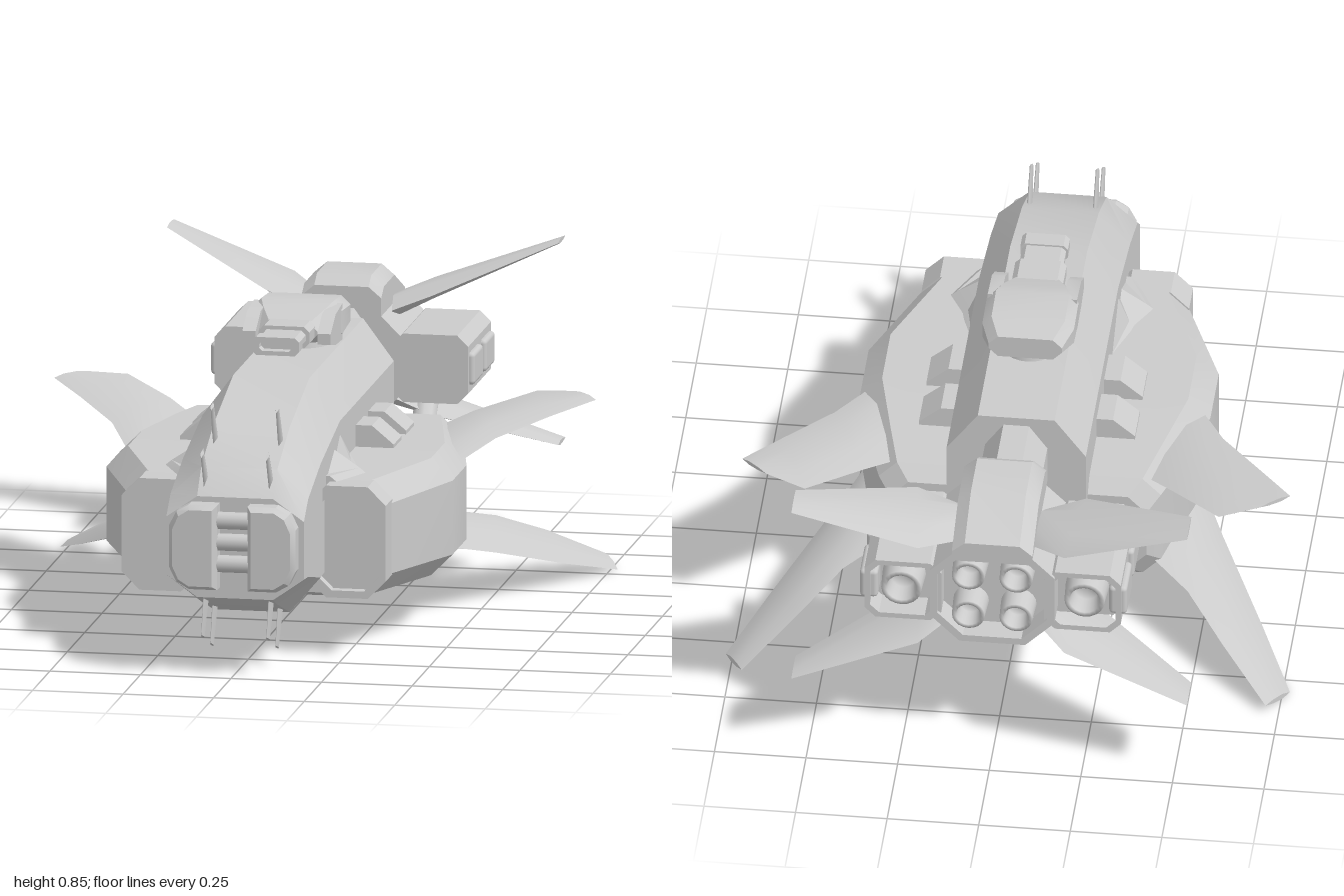
import * as THREE from 'three';
import { toCreasedNormals } from 'three/addons/utils/BufferGeometryUtils.js';
import { RoundedBoxGeometry } from 'three/addons/geometries/RoundedBoxGeometry.js';

const mat = new THREE.MeshStandardMaterial({ color: 0xcccccc });
const open = new THREE.MeshStandardMaterial({ color: 0xcccccc, side: THREE.DoubleSide });

// Capped skin over rings of [x, y, z] points; turned outward by its signed volume
function loft(rings, crease = 0.45) {
  const v = (p) => new THREE.Vector3(...p);
  const R = rings.map((r) => r.map(v));
  const tris = [];
  const n = R[0].length;
  for (let i = 0; i < R.length - 1; i++) {
    for (let j = 0; j < n; j++) {
      const k = (j + 1) % n;
      tris.push([R[i][j], R[i][k], R[i + 1][k]], [R[i][j], R[i + 1][k], R[i + 1][j]]);
    }
  }
  const cap = (r, flip) => {
    const c = r.reduce((s, p) => s.add(p), new THREE.Vector3()).divideScalar(n);
    r.forEach((p, j) => {
      const q = r[(j + 1) % n];
      tris.push(flip ? [c, q, p] : [c, p, q]);
    });
  };
  cap(R[0], true);
  cap(R[R.length - 1], false);
  const vol = tris.reduce((s, [a, b, c]) => s + a.dot(b.clone().cross(c)), 0);
  const pts = tris.flatMap((t) => (vol < 0 ? [t[0], t[2], t[1]] : t));
  return toCreasedNormals(new THREE.BufferGeometry().setFromPoints(pts), crease);
}

// Octagon with corners cut by cx and cy
const oct = (x0, x1, y0, y1, cx, cy = cx) => [
  [x0 + cx, y0], [x1 - cx, y0], [x1, y0 + cy], [x1, y1 - cy],
  [x1 - cx, y1], [x0 + cx, y1], [x0, y1 - cy], [x0, y0 + cy]];
const at = (pts, z) => pts.map(([x, y]) => [x, y, z]);
const prism = (pts, z0, z1) => loft([at(pts, z0), at(pts, z1)]);
const flip = (pts, s) => pts.map(([x, ...r]) => [x * s, ...r]);

// Hollow rim between two outlines
function rim(outer, inner, z0, z1) {
  const shape = new THREE.Shape(outer.map((p) => new THREE.Vector2(...p)));
  shape.holes.push(new THREE.Path(inner.map((p) => new THREE.Vector2(...p))));
  return new THREE.ExtrudeGeometry(shape, { depth: z1 - z0, bevelEnabled: false }).translate(0, 0, z0);
}

// Blade from stations: [leading point, trailing point, half thickness]
const blade = (stations, s) => loft(stations.map(([a, b, t]) => {
  const mix = (k, dy) => [0, 1, 2].map((i) => a[i] + (b[i] - a[i]) * k + (i === 1 ? dy : 0));
  return flip([a, mix(0.3, t), mix(0.7, t * 0.8), b, mix(0.7, -t * 0.8), mix(0.3, -t)], s);
}), 0.7);

export function createModel() {
  const model = new THREE.Group();
  const add = (name, geo, parent = model, m = mat) => {
    const mesh = new THREE.Mesh(geo, m);
    mesh.name = name;
    parent.add(mesh);
    return mesh;
  };
  const group = (name) => {
    const g = new THREE.Group();
    g.name = name;
    model.add(g);
    return g;
  };

  // Central hull: z, bottom, top, corner height
  add('hull', loft([
    [0.94, 0.22, 0.5, 0.06], [0.88, 0.195, 0.57, 0.08], [0.7, 0.135, 0.65, 0.1],
    [0.42, 0.135, 0.725, 0.115], [-0.27, 0.13, 0.725, 0.115], [-0.355, 0.31, 0.725, 0.115],
  ].map(([z, b, t, c]) => at(oct(-0.19, 0.19, b, t, 0.085, c), z))));

  // Belly bay, open at the rear
  const bay = group('bellyBay');
  add('bayBody', loft([[0.37, 0.12], [0.2, 0.075], [-0.24, 0.072]]
    .map(([z, b]) => at([[-0.21, b], [0.21, b], [0.21, 0.22], [-0.21, 0.22]], z))), bay);
  add('bayRim', rim([[-0.21, 0.072], [0.21, 0.072], [0.21, 0.25], [-0.21, 0.25]],
    [[-0.17, 0.1], [0.17, 0.1], [0.17, 0.22], [-0.17, 0.22]], -0.31, -0.24), bay);

  // Nose gun housings, rungs and sensor spikes
  const nose = group('nose');
  for (const y of [0.32, 0.38, 0.44]) {
    add('noseRung', new THREE.CylinderGeometry(0.024, 0.024, 0.12, 12).rotateZ(Math.PI / 2).translate(0, y, 0.96), nose);
  }
  for (const s of [-1, 1]) {
    const outline = [[0.042, 0.25], [0.12, 0.25], [0.155, 0.27], [0.175, 0.31],
      [0.175, 0.425], [0.155, 0.465], [0.12, 0.485], [0.042, 0.485]];
    const inset = outline.map(([x, y]) => [0.105 + (x - 0.105) * 0.82, 0.3675 + (y - 0.3675) * 0.9]);
    add('noseHousing', loft([at(flip(outline, s), 0.9), at(flip(outline, s), 0.98), at(flip(inset, s), 1)]), nose);
    for (const [z, y, z1, y1] of [[0.885, 0.52, 0.945, 0.62], [0.75, 0.61, 0.8, 0.72],
      [0.89, 0.21, 0.935, 0.11], [0.76, 0.16, 0.805, 0.06]]) {
      const a = new THREE.Vector3(s * 0.09, y, z);
      const b = new THREE.Vector3(s * 0.09, y1, z1);
      const spike = add('spike', new THREE.CylinderGeometry(0.02, 0.032, a.distanceTo(b), 4).scale(0.25, 1, 1), nose);
      spike.position.copy(a).lerp(b, 0.5);
      spike.quaternion.setFromUnitVectors(new THREE.Vector3(0, 1, 0), b.sub(a).normalize());
    }
  }

  for (const s of [-1, 1]) {
    const side = s > 0 ? 'left' : 'right';
    const flank = group(side + 'Flank');

    // Side pod: z, outer x, bottom, top, corner cuts
    add('sidePod', loft([
      [0.59, 0.365, 0.17, 0.485, 0.06], [0.3, 0.478, 0.165, 0.49, 0.06], [0.1, 0.478, 0.165, 0.49, 0.06],
      [-0.12, 0.43, 0.165, 0.49, 0.06], [-0.27, 0.385, 0.17, 0.485, 0.05], [-0.31, 0.35, 0.21, 0.45, 0.05],
    ].map(([z, x, b, t, c]) => at(flip(oct(0.05, x, b, t, c), s), z))), flank);

    // Shoulder fairing between hull and pod
    add('shoulder', loft([[0.62, 0.2, 0.5], [0.5, 0.26, 0.56], [0.42, 0.22, 0.62], [0.28, 0.19, 0.49]]
      .map(([z, x, y]) => at(flip([[0.1, 0.45], [0.1, y], [0.17, y], [x, Math.min(y, 0.5)], [x + 0.06, 0.45]], s), z))), flank);

    // Air intake
    add('intakeRim', rim(flip(oct(0.15, 0.365, 0.175, 0.485, 0.05), s),
      flip(oct(0.17, 0.35, 0.195, 0.465, 0.045), s), 0.58, 0.675), flank);
    add('intakePanel', prism(flip(oct(0.16, 0.355, 0.185, 0.475, 0.045), s), 0.57, 0.645), flank);

    // Vents above and below the pod
    for (const z of [-0.1, 0.08]) {
      const top = [[0.15, 0.44], [0.15, 0.55], [0.235, 0.55], [0.295, 0.5], [0.295, 0.44]];
      const low = [[0.15, 0.22], [0.15, 0.11], [0.25, 0.11], [0.31, 0.16], [0.31, 0.22]];
      add('upperVent', prism(flip(top, s), z, z + 0.115), flank);
      add('lowerVent', prism(flip(low, s), z, z + 0.115), flank);
    }

    // Side fins
    add('upperSideFin', blade([
      [[0.44, 0.43, 0.15], [0.33, 0.46, -0.22], 0.022],
      [[0.53, 0.475, -0.05], [0.42, 0.49, -0.32], 0.018],
      [[0.65, 0.505, -0.22], [0.565, 0.52, -0.465], 0.012],
      [[0.748, 0.525, -0.355], [0.675, 0.532, -0.425], 0.006]], s), flank);
    add('lowerSideFin', blade([
      [[0.43, 0.215, 0.16], [0.35, 0.225, -0.26], 0.03],
      [[0.53, 0.155, -0.06], [0.47, 0.19, -0.37], 0.024],
      [[0.67, 0.07, -0.34], [0.58, 0.125, -0.51], 0.016],
      [[0.77, 0.012, -0.555], [0.715, 0.035, -0.655], 0.008]], s), flank);

    // Pipe from hull to tail
    const path = new THREE.CatmullRomCurve3([[0.12, 0.36, -0.3], [0.12, 0.36, -0.42], [0.21, 0.35, -0.53],
      [0.215, 0.345, -0.64], [0.2, 0.42, -0.78]].map(([x, y, z]) => new THREE.Vector3(x * s, y, z)), false, 'catmullrom', 0.2);
    add('tailPipe', new THREE.TubeGeometry(path, 24, 0.034, 10), flank, open);
  }

  // Tail boom and engine block
  const tail = group('tail');
  add('tailBoom', prism(oct(-0.085, 0.085, 0.45, 0.7, 0.05, 0.07), -0.62, -0.3), tail);
  const core = oct(-0.17, 0.17, 0.39, 0.7, 0.08);
  add('engineCore', prism(core, -0.86, -0.59), tail);
  add('engineRim', rim(core, oct(-0.15, 0.15, 0.41, 0.68, 0.07), -0.93, -0.86), tail);
  add('tailRidge', loft([[-0.59, 0.76], [-0.63, 0.785], [-0.78, 0.785], [-0.93, 0.72]]
    .map(([z, y]) => at([[-0.11, 0.66], [0.11, 0.66], [0.11, y - 0.03], [0.075, y], [-0.075, y], [-0.11, y - 0.03]], z))), tail);

  const nozzle = (x, y, z, r) => add('nozzle', new THREE.LatheGeometry(
    [[r * 1.1, 0.09], [r, 0], [r * 0.75, 0], [r * 0.6, 0.05], [0, 0.05]].map((p) => new THREE.Vector2(...p)), 20)
    .rotateX(Math.PI / 2).translate(x, y, z), tail, open);

  for (const s of [-1, 1]) {
    nozzle(s * 0.065, 0.61, -0.93, 0.045);
    nozzle(s * 0.065, 0.48, -0.93, 0.045);
    nozzle(s * 0.25, 0.54, -0.91, 0.055);

    // Side engine with raised panels
    const box = flip(oct(0.14, 0.35, 0.445, 0.635, 0.03), s);
    add('sideEngine', prism(box, -0.84, -0.59), tail);
    add('sideEngineRim', rim(box, flip(oct(0.16, 0.335, 0.46, 0.62, 0.025), s), -0.92, -0.84), tail);
    for (const z of [-0.67, -0.84]) {
      add('sidePanel', new RoundedBoxGeometry(0.05, 0.09, 0.13, 2, 0.012).translate(s * 0.34, 0.54, z), tail);
    }

    // Tail fins, upper and lower
    for (const [name, k] of [['upperTailFin', 1], ['lowerTailFin', -1]]) {
      const P = (x, y, z) => [x, 0.555 + k * y, z];
      add(name, blade([
        [P(0.12, 0.12, -0.69), P(0.1, 0.12, -0.86), 0.03],
        [P(0.23, 0.165, -0.69), P(0.2, 0.16, -0.96), 0.022],
        [P(0.54, 0.28, -0.895), P(0.54, 0.28, -1), 0.006]], s), tail);
    }
  }

  // Dorsal turret
  const turret = group('turret');
  add('turretRing', new THREE.CylinderGeometry(0.07, 0.08, 0.06, 24).translate(0, 0.735, -0.02), turret);
  add('turretBody', loft([
    [-0.14, 0.1, 0.77, 0.835], [-0.07, 0.125, 0.755, 0.85], [0.04, 0.125, 0.745, 0.858],
    [0.09, 0.11, 0.755, 0.845], [0.16, 0.08, 0.765, 0.82],
  ].map(([z, x, b, t]) => at(oct(-x, x, b, t, 0.025), z))), turret);
  for (const s of [-1, 1]) {
    add('turretArm', loft([[0.03, 0.75, 0.85], [0.13, 0.755, 0.84], [0.2, 0.77, 0.8]]
      .map(([z, b, t]) => at(flip([[0.085, b], [0.122, b], [0.122, t], [0.085, t]], s), z))), turret);
  }
  add('gunMount', prism(oct(-0.07, 0.07, 0.765, 0.825, 0.015), 0.1, 0.235), turret);
  add('gunBarrel', prism(oct(-0.06, 0.06, 0.775, 0.815, 0.012), 0.22, 0.33), turret);
  add('gunMuzzle', rim(oct(-0.065, 0.065, 0.77, 0.82, 0.012), oct(-0.045, 0.045, 0.782, 0.808, 0.008), 0.31, 0.36), turret);

  return model;
}
